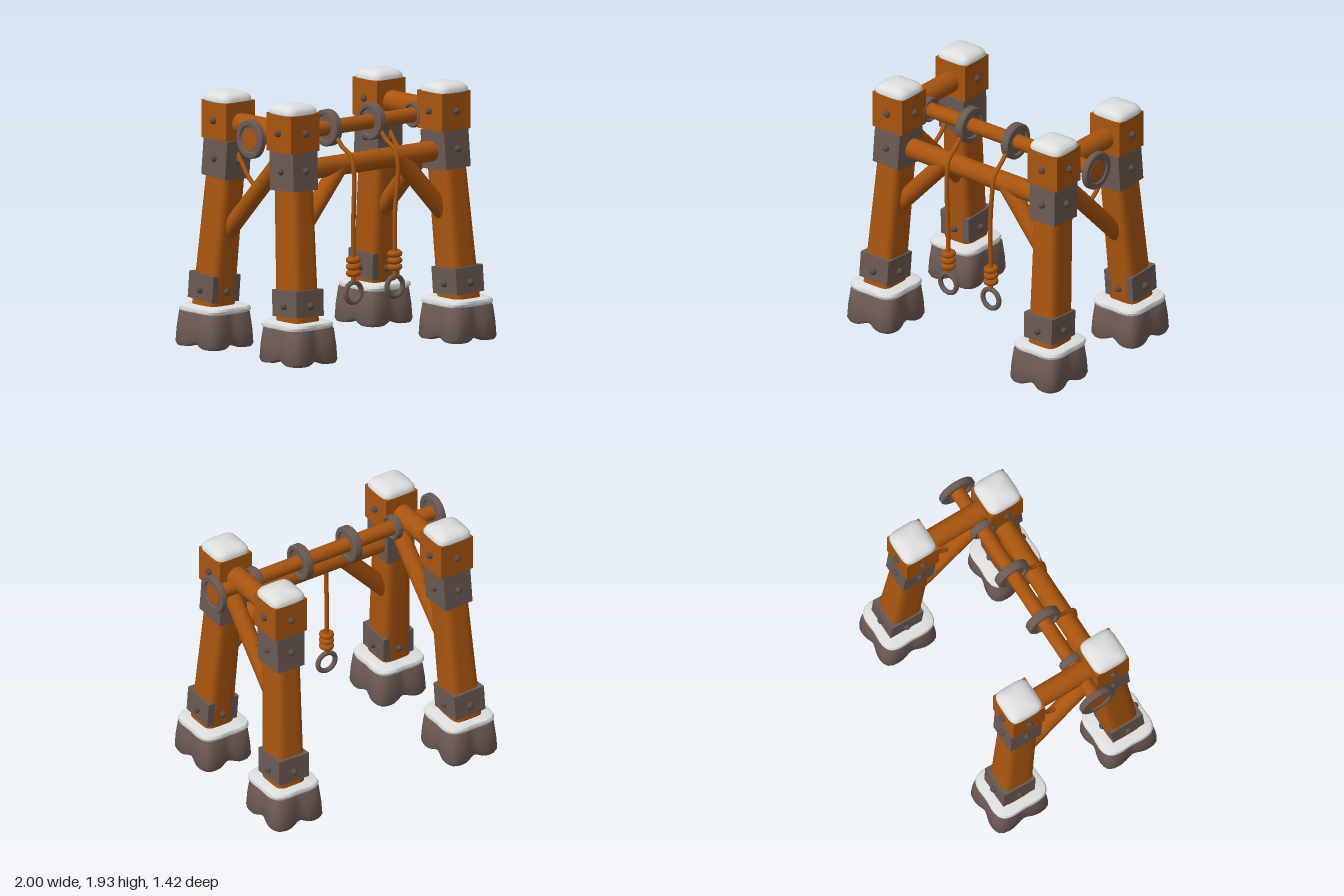
import * as THREE from 'three';
import { toCreasedNormals } from 'three/addons/utils/BufferGeometryUtils.js';

const mat = (name, color) => {
  const m = new THREE.MeshStandardMaterial({ color });
  m.name = name;
  return m;
};

// Closed body from rounded-square cross-sections [y, halfWidth, halfDepth, centreX, centreZ]
function loft(sections, power = 5, notch = 0, lift = 0, n = 48) {
  const pos = [], index = [];
  sections.forEach(([y, w, d, cx = 0, cz = 0], k) => {
    for (let i = 0; i < n; i++) {
      const a = (i / n) * Math.PI * 2, c = Math.cos(a), s = Math.sin(a);
      const groove = Math.pow(Math.abs(Math.cos(2 * a)), 6);
      const r = Math.pow(Math.abs(c) ** power + Math.abs(s) ** power, -1 / power) * (1 - notch * groove);
      const up = lift * groove * Math.max(0, 1 - y / 0.15);
      pos.push(cx + w * r * c, y + up, cz + d * r * s);
      if (k < sections.length - 1) {
        const p = k * n + i, q = k * n + (i + 1) % n;
        index.push(p, p + n, q, q, p + n, q + n);
      }
    }
  });
  const g = new THREE.BufferGeometry();
  g.setAttribute('position', new THREE.Float32BufferAttribute(pos, 3));
  g.setIndex(index);
  return toCreasedNormals(g, 0.7);
}

export function createModel() {
  const root = new THREE.Group();
  root.name = 'timberFrame';
  const wood = mat('wood', 0xa8540e);
  const stone = mat('stone', 0x6e5a54);
  const iron = mat('iron', 0x6a5952);
  const rivetIron = mat('rivet iron', 0x584b49);
  const snow = mat('snow', 0xdcdfde);

  const add = (parent, name, geo, material, x = 0, y = 0, z = 0) => {
    const m = new THREE.Mesh(geo, material);
    m.name = name;
    m.position.set(x, y, z);
    parent.add(m);
    return m;
  };
  const V = (x, y, z) => new THREE.Vector3(x, y, z);
  const beam = (name, a, b, r) => {
    const m = add(root, name, new THREE.CylinderGeometry(r, r, a.distanceTo(b), 20), wood);
    m.position.copy(a).lerp(b, 0.5);
    m.quaternion.setFromUnitVectors(V(0, 1, 0), b.clone().sub(a).normalize());
    return m;
  };
  const rope = (name, pts, r) =>
    add(root, name, new THREE.TubeGeometry(new THREE.CatmullRomCurve3(pts), 40, r, 8), wood);

  // Square block with a rivet on each of its four sides
  const rivetGeo = new THREE.SphereGeometry(0.027, 14, 10);
  const rivetedBlock = (parent, name, w, h, d, material, x, y, z, rivetY = 0) => {
    const g = new THREE.Group();
    g.name = name;
    g.position.set(x, y, z);
    add(g, name + 'Body', new THREE.BoxGeometry(w, h, d), material);
    for (const s of [-1, 1]) {
      add(g, 'rivet', rivetGeo, rivetIron, s * (w / 2 + 0.004), rivetY, 0);
      add(g, 'rivet', rivetGeo, rivetIron, 0, rivetY, s * (d / 2 + 0.004));
    }
    parent.add(g);
    return g;
  };

  // Four leaning posts
  for (const sx of [-1, 1]) for (const sz of [-1, 1]) {
    const post = new THREE.Group();
    post.name = (sz > 0 ? 'front' : 'back') + (sx > 0 ? 'Left' : 'Right') + 'Post';
    root.add(post);
    const at = (y) => [sx * (0.8 - 0.04 * y), sz * (0.505 - 0.09 * y)];

    const foot = add(post, 'stoneFoot', loft([
      [0.03, 0, 0], [0.0, 0.17, 0.19], [0.005, 0.212, 0.226], [0.03, 0.222, 0.238],
      [0.14, 0.217, 0.229], [0.26, 0.205, 0.212], [0.29, 0.19, 0.197], [0.29, 0, 0],
    ], 6, 0.1, 0.035), stone);
    foot.position.set(sx * 0.778, 0, sz * 0.475);

    const ring = add(post, 'footSnow', loft([
      [0.262, 0, 0], [0.262, 0.195, 0.2], [0.272, 0.212, 0.22], [0.292, 0.216, 0.226],
      [0.31, 0.208, 0.218], [0.318, 0.185, 0.195], [0.315, 0, 0],
    ], 4.5, 0.03), snow);
    ring.position.set(sx * 0.782, 0, sz * 0.465);

    const legSection = (y, w, d) => [y, w, d, ...at(y)];
    add(post, 'leg', loft([
      legSection(0.25, 0, 0), legSection(0.25, 0.125, 0.135), legSection(0.55, 0.119, 0.129),
      legSection(1.28, 0.106, 0.126), legSection(1.6, 0.104, 0.12), legSection(1.6, 0, 0),
    ], 5), wood);

    // Iron brackets follow the lean of the post
    const tilt = (g) => g.rotation.set(-sz * 0.06, 0, sx * 0.03);
    tilt(rivetedBlock(post, 'lowerBracket', 0.265, 0.2, 0.275, iron, sx * 0.782, 0.45, sz * 0.474, -0.02));
    tilt(rivetedBlock(post, 'upperBracket', 0.238, 0.29, 0.268, iron, sx * 0.743, 1.425, sz * 0.38));

    rivetedBlock(post, 'headBlock', 0.282, 0.285, 0.278, wood, sx * 0.738, 1.715, sz * 0.367);
    const cap = add(post, 'capSnow', loft([
      [1.845, 0, 0], [1.845, 0.135, 0.13], [1.858, 0.145, 0.14], [1.88, 0.144, 0.139],
      [1.9, 0.132, 0.128], [1.917, 0.1, 0.096], [1.927, 0.05, 0.048], [1.929, 0, 0],
    ], 5), snow);
    cap.position.set(sx * 0.74, 0, sz * 0.37);
  }

  // Beams and diagonal braces
  beam('frontBeam', V(-0.7, 1.41, 0.36), V(0.7, 1.41, 0.36), 0.077);
  for (const s of [-1, 1]) {
    beam('sideBeam', V(s * 0.738, 1.695, -0.3), V(s * 0.738, 1.695, 0.3), 0.081);
    beam('frontBrace', V(s * 0.28, 1.415, 0.37), V(s * 0.73, 0.92, 0.4), 0.068);
    beam('sideBrace', V(s * 0.745, 1.54, 0.3), V(s * 0.755, 0.82, -0.4), 0.066);
    rope('braceRope', [V(s * 0.745, 1.5, -0.28), V(s * 0.745, 1.4, -0.2),
      V(s * 0.745, 1.31, -0.13), V(s * 0.745, 1.24, -0.04)], 0.017);
  }

  // Axle with iron wheels: a raised rim around a thin web
  const axleY = 1.658, axleZ = 0.166;
  beam('axle', V(-0.985, axleY, axleZ), V(0.985, axleY, axleZ), 0.056);
  const wheel = (name, x, R, rim, w) => {
    const h = w / 2, b = 0.008;
    const pts = [[0.04, -h / 2], [rim, -h / 2], [rim + b, -h], [R - b, -h], [R, -h + b],
      [R, h - b], [R - b, h], [rim + b, h], [rim, h / 2], [0.04, h / 2]]
      .map(([r, y]) => new THREE.Vector2(r, y));
    const m = add(root, name, toCreasedNormals(new THREE.LatheGeometry(pts, 36), 0.6), iron, x, axleY, axleZ);
    m.rotation.z = -Math.PI / 2;
  };
  for (const s of [-1, 1]) {
    wheel('endWheel', s * 0.975, 0.146, 0.095, 0.05);
    beam('axleEnd', V(s * 0.965, axleY, axleZ), V(s * 0.99, axleY, axleZ), 0.08);
    wheel('axleCollar', s * 0.62, 0.095, 0.07, 0.06);
  }

  // Hanging ropes with coiled knots and iron rings
  const coil = new THREE.TorusGeometry(0.033, 0.024, 10, 24).rotateX(Math.PI / 2);
  for (const [top, x] of [[-0.227, -0.21], [0.205, 0.195]]) {
    wheel('ropeWheel', top, 0.138, 0.095, 0.068);
    rope('hangingRope', [V(top, 1.6, 0.27), V(top, 1.54, 0.33), V(top + 0.01, 1.47, 0.425),
      V(top + 0.012, 1.35, 0.452), V(x - 0.004, 1.0, 0.445), V(x, 0.75, 0.44), V(x, 0.53, 0.44)], 0.017);
    for (let i = 0; i < 3; i++) add(root, 'ropeCoil', coil, wood, x, 0.6 + i * 0.05, 0.44).rotation.z = 0.06;
    add(root, 'hangingRing', new THREE.TorusGeometry(0.076, 0.019, 10, 32), iron, x, 0.455, 0.44);
  }
  return root;
}
